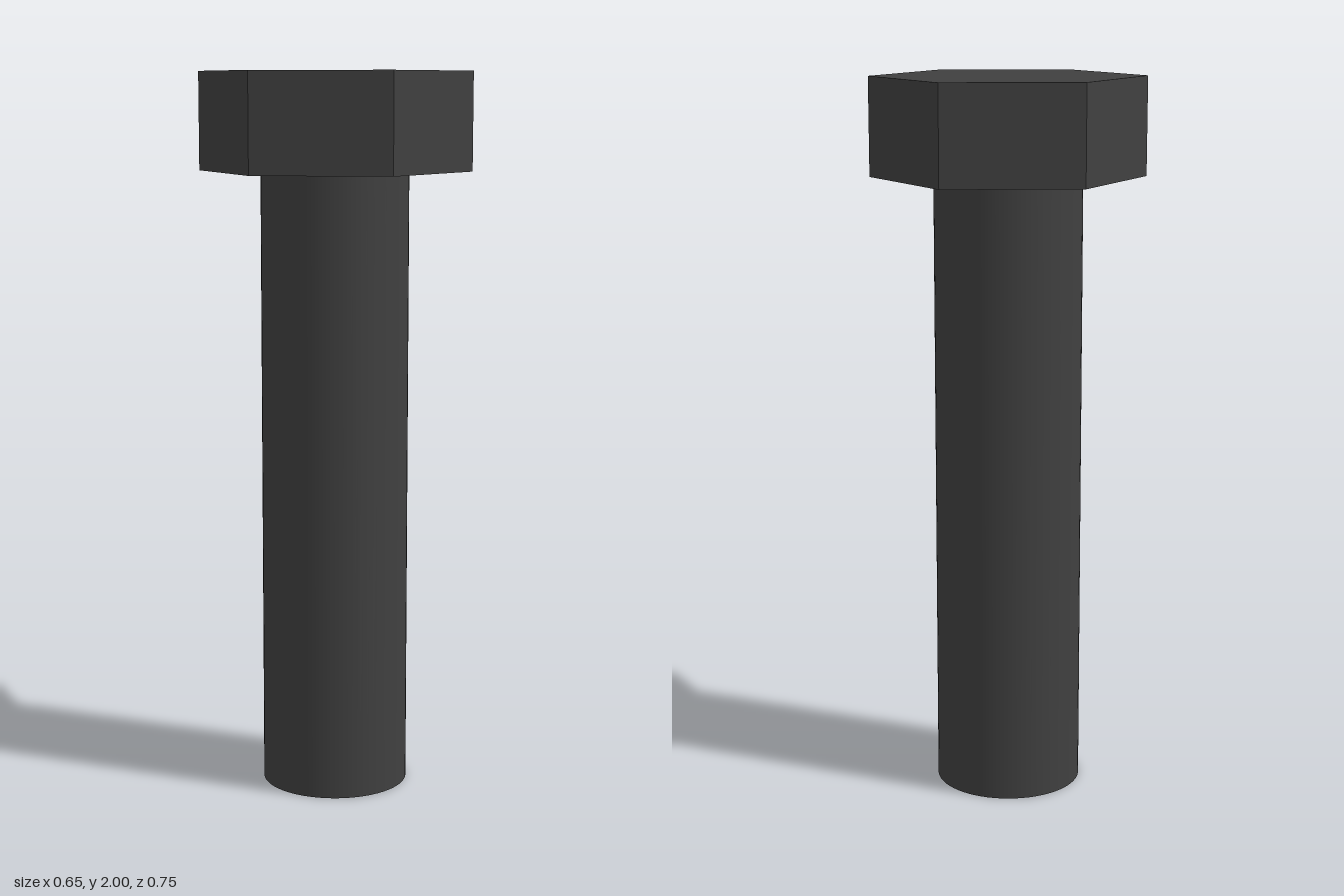
import * as THREE from 'three';

const HEIGHT = 2;
const HEAD_BOTTOM = 1.73;
const HEAD_RADIUS = 0.377; // centre to corner
const SHANK_RADIUS = 0.204;

// Upright prism or cylinder between two heights
function column(name, radius, bottom, top, sides, flatShading) {
  const material = new THREE.MeshStandardMaterial({ color: 0x404040, flatShading });
  const geometry = new THREE.CylinderGeometry(radius, radius, top - bottom, sides);
  const mesh = new THREE.Mesh(geometry, material);
  mesh.name = name;
  mesh.position.y = (bottom + top) / 2;
  return mesh;
}

export function createModel() {
  const bolt = new THREE.Group();
  bolt.name = 'hexBolt';

  // Six-sided head, corners pointing to front and back
  bolt.add(column('head', HEAD_RADIUS, HEAD_BOTTOM, HEIGHT, 6, true));

  // Smooth round shank
  bolt.add(column('shank', SHANK_RADIUS, 0, HEAD_BOTTOM, 64, false));

  return bolt;
}
